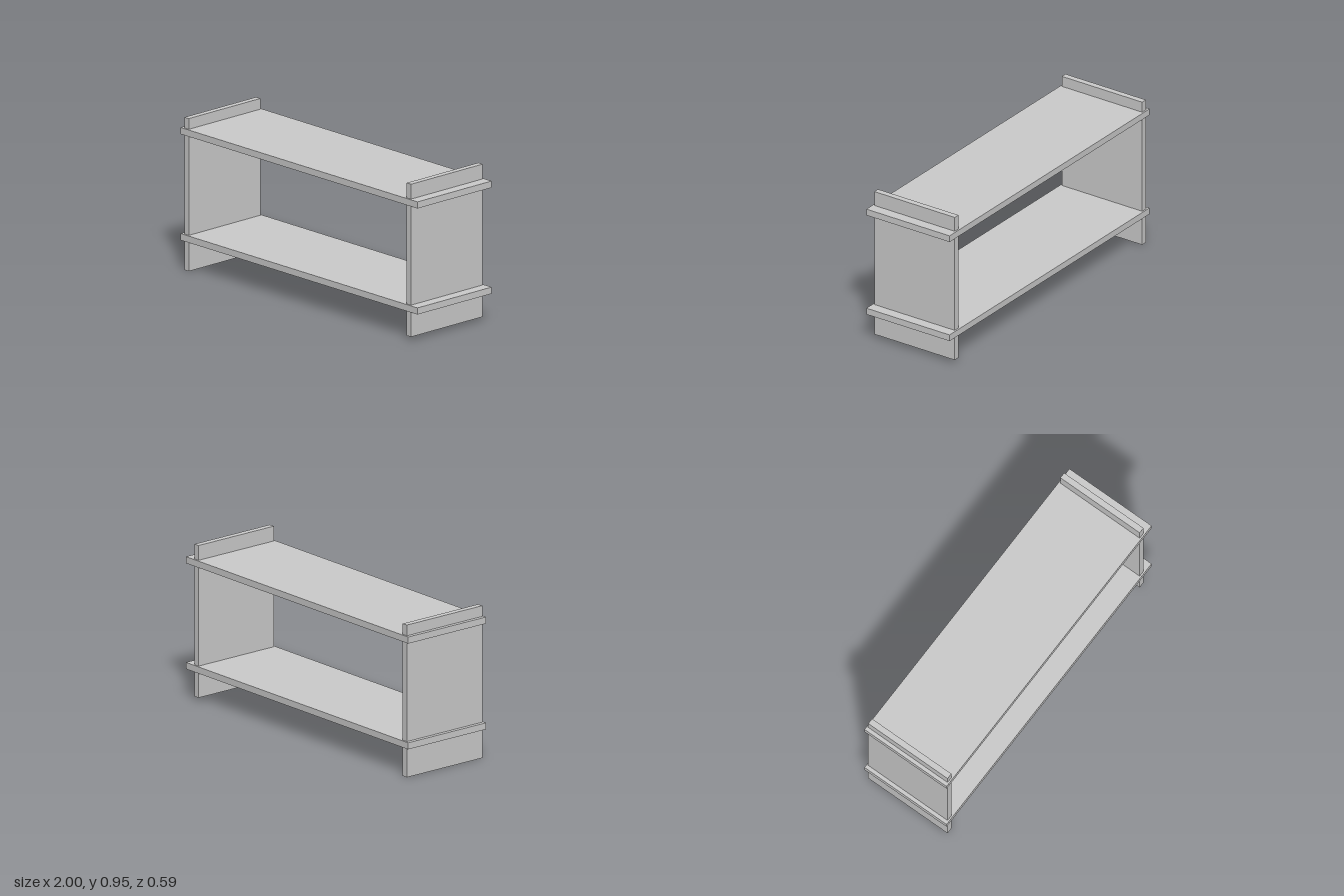
import * as THREE from 'three';

export function createModel() {
  const group = new THREE.Group();
  const material = new THREE.MeshStandardMaterial({ color: 0xcccccc, flatShading: true });

  const addBoard = (name, size, position) => {
    const board = new THREE.Mesh(new THREE.BoxGeometry(...size), material);
    board.name = name;
    board.position.set(...position);
    group.add(board);
  };

  // Two long shelves running through the side panels
  addBoard('lowerShelf', [2, 0.04, 0.592], [0, 0.198, 0]);
  addBoard('upperShelf', [2, 0.04, 0.592], [0, 0.842, 0]);

  // Upright side panels; the left one sits slightly higher
  addBoard('rightPanel', [0.037, 0.927, 0.572], [-0.958, 0.4635, 0]);
  addBoard('leftPanel', [0.037, 0.927, 0.572], [0.916, 0.4885, 0]);

  return group;
}
